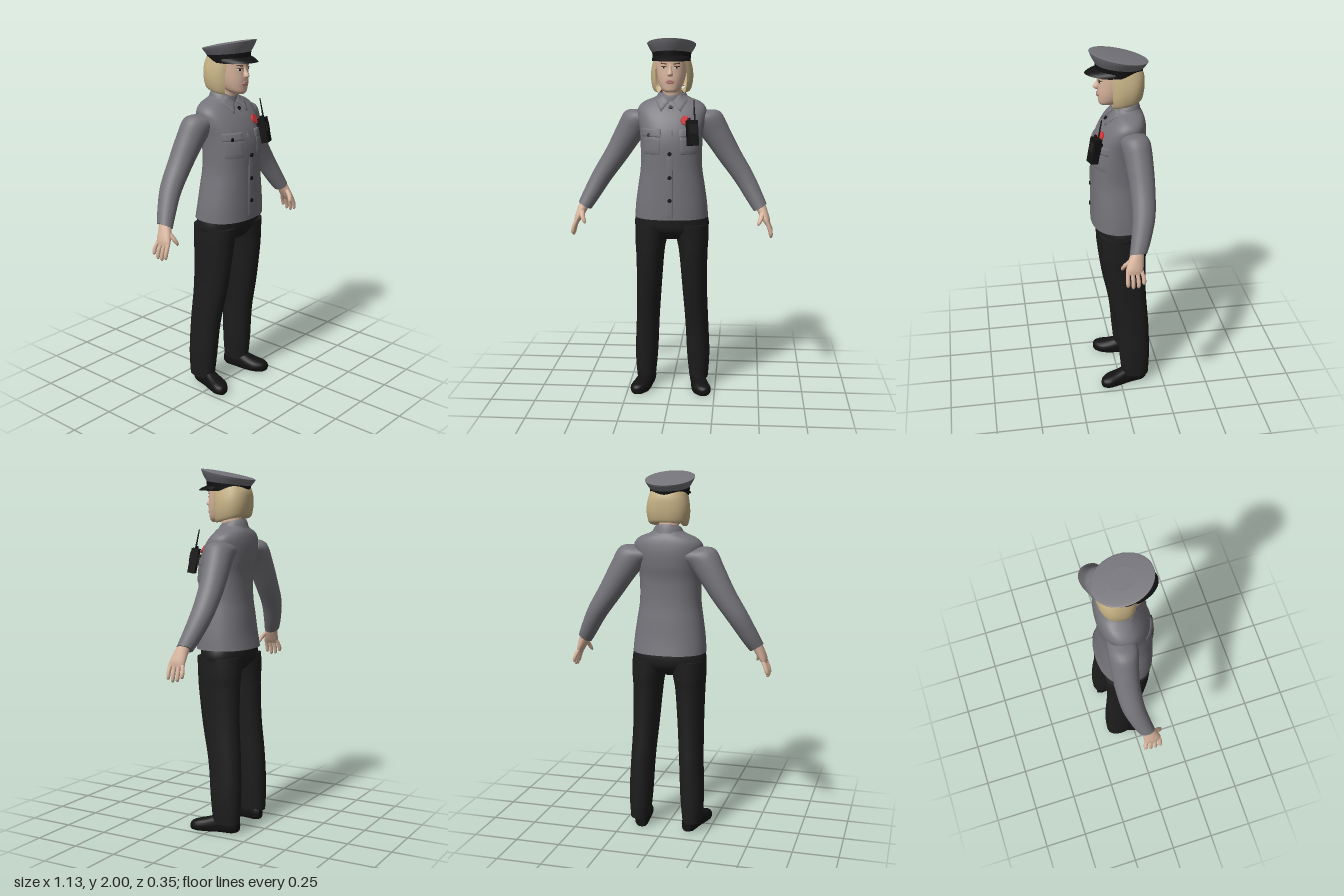
import * as THREE from 'three';

const paint = (name, color, side = THREE.DoubleSide) => {
  const m = new THREE.MeshStandardMaterial({ color, side });
  m.name = name;
  return m;
};
const X = [1, 0, 0], Y = [0, 1, 0], Z = [0, 0, 1];

// Smoothly resample section keys: [x, y, z, radiusU, radiusV, tilt]
function resample(keys, steps) {
  const out = [], last = keys.length - 1;
  for (let i = 0; i < last; i++) {
    for (let k = 0; k < steps + (i === last - 1 ? 1 : 0); k++) {
      const t = k / steps;
      out.push([0, 1, 2, 3, 4, 5].map((c) => {
        const [p, q, r, s] = [i - 1, i, i + 1, i + 2].map((n) => keys[Math.min(last, Math.max(0, n))][c] ?? 0);
        return 0.5 * (2 * q + (r - p) * t + (2 * p - 5 * q + 4 * r - s) * t * t + (3 * q - p - 3 * r + s) * t ** 3);
      }));
    }
  }
  return out;
}

// Skin a row of superelliptic sections; an arc [from, to] leaves the loop open
function loft(keys, { u = X, v = Z, n = 28, steps = 4, p = 2, arc = null, caps = true, floor = -9 } = {}) {
  const rows = resample(keys, steps), pos = [], idx = [];
  const cols = arc ? n + 1 : n, [a0, a1] = arc ?? [0, Math.PI * 2];
  const U = new THREE.Vector3(...u).normalize(), V = new THREE.Vector3(...v).normalize();
  const bend = (w) => Math.sign(w) * Math.abs(w) ** (2 / p);
  for (const [x, y, z, ru, rv, tilt] of rows) {
    for (let j = 0; j < cols; j++) {
      const a = a0 + (a1 - a0) * j / n, cu = ru * bend(Math.cos(a)), cv = rv * bend(Math.sin(a));
      pos.push(x + U.x * cu + V.x * cv, Math.max(floor, y + U.y * cu + V.y * cv + tilt * cv), z + U.z * cu + V.z * cv);
    }
  }
  const f = rows[0], l = rows[rows.length - 1];
  const path = new THREE.Vector3(l[0] - f[0], l[1] - f[1], l[2] - f[2]);
  const ok = U.clone().cross(V).dot(path) > 0;
  const tri = (a, b, c) => (ok ? idx.push(a, b, c) : idx.push(a, c, b));
  for (let i = 0; i < rows.length - 1; i++) {
    for (let j = 0; j < n; j++) {
      const k = (j + 1) % cols, a = i * cols + j, b = i * cols + k;
      tri(a, b, b + cols);
      tri(a, b + cols, a + cols);
    }
  }
  if (caps && !arc) {
    for (const end of [0, rows.length - 1]) {
      const base = pos.length / 3, src = end * cols;
      for (let j = 0; j < cols; j++) pos.push(...pos.slice((src + j) * 3, (src + j) * 3 + 3));
      pos.push(rows[end][0], Math.max(floor, rows[end][1]), rows[end][2]);
      for (let j = 0; j < n; j++) {
        const a = base + j, b = base + (j + 1) % cols;
        end ? tri(base + cols, a, b) : tri(base + cols, b, a);
      }
    }
  }
  return finish(pos, idx);
}

function finish(pos, idx) {
  const g = new THREE.BufferGeometry();
  g.setAttribute('position', new THREE.Float32BufferAttribute(pos, 3));
  g.setIndex(idx);
  g.computeVertexNormals();
  return g;
}

// Front z of an upright loft at a given x, y
function frontOf(keys, p) {
  const rows = resample(keys, 8);
  return (x, y) => {
    let i = 0;
    while (i < rows.length - 2 && rows[i + 1][1] < y) i++;
    const a = rows[i], b = rows[i + 1], t = THREE.MathUtils.clamp((y - a[1]) / (b[1] - a[1]), 0, 1);
    const [, , z, ru, rv] = a.map((w, c) => w + (b[c] - w) * t);
    return z + rv * Math.max(0, 1 - Math.abs(x / ru) ** p) ** (1 / p);
  };
}

// Thin four-cornered plate that follows a front surface
function plate(front, [A, B, C, D], lift) {
  const ts = [0, 0.05, 0.25, 0.5, 0.75, 0.95, 1], m = ts.length, pos = [], idx = [];
  ts.forEach((t, i) => ts.forEach((s, j) => {
    const [x, y] = [0, 1].map((c) => (A[c] * (1 - s) + B[c] * s) * (1 - t) + (D[c] * (1 - s) + C[c] * s) * t);
    const edge = i % (m - 1) === 0 || j % (m - 1) === 0;
    pos.push(x, y, front(x, y) + (edge ? -0.001 : lift));
    if (i < m - 1 && j < m - 1) {
      const a = i * m + j;
      idx.push(a, a + 1, a + m + 1, a, a + m + 1, a + m);
    }
  }));
  return finish(pos, idx);
}
const box4 = (x, y, w, h, s = 1) => [[s * (x - w / 2), y - h / 2], [s * (x + w / 2), y - h / 2], [s * (x + w / 2), y + h / 2], [s * (x - w / 2), y + h / 2]];

export function createModel() {
  const model = new THREE.Group();
  const shirt = paint('shirt grey', 0x74747a), cloth = paint('trouser black', 0x1d1d1e);
  const black = paint('black', 0x121213), skin = paint('skin', 0xd9b59e), blond = paint('blond', 0xc6b185);
  const red = paint('red', 0xd8353a), lip = paint('lip', 0xb98078), white = paint('eye white', 0xd8d4ce), brown = paint('brow brown', 0x5c4636);
  const add = (name, geo, mat, parent = model) => {
    const m = new THREE.Mesh(geo, mat);
    m.name = name;
    parent.add(m);
    return m;
  };

  // Shirt body
  const torso = [[0, 1.02, -0.015, 0.204, 0.157], [0, 1.1, -0.008, 0.198, 0.15], [0, 1.2, -0.003, 0.184, 0.144],
    [0, 1.3, 0.002, 0.17, 0.138], [0, 1.42, 0.002, 0.17, 0.138], [0, 1.5, -0.012, 0.176, 0.138], [0, 1.57, -0.03, 0.188, 0.125],
    [0, 1.62, -0.045, 0.188, 0.105], [0, 1.655, -0.055, 0.155, 0.085], [0, 1.68, -0.055, 0.095, 0.07], [0, 1.705, -0.05, 0.066, 0.064]];
  const chest = frontOf(torso, 2.3);
  add('shirtBody', loft(torso, { p: 2.3, n: 48, caps: false }), shirt);
  add('placket', plate(chest, [[-0.02, 1.025], [0.02, 1.025], [0.014, 1.655], [-0.014, 1.655]], 0.003), shirt);
  add('collarBand', loft([[0, 1.665, -0.05, 0.09, 0.078, -0.2], [0, 1.695, -0.048, 0.08, 0.072, -0.22], [0, 1.712, -0.046, 0.068, 0.066, -0.25]], { caps: false }), shirt);
  const button = (name, x, y, r) => {
    const b = add(name, new THREE.CylinderGeometry(r, r, 0.008, 12), black);
    b.rotation.x = Math.PI / 2 - Math.atan((chest(x, y - 0.02) - chest(x, y + 0.02)) / 0.04);
    b.position.set(x, y, chest(x, y) + 0.005);
  };
  [1.13, 1.255, 1.385, 1.63].forEach((y) => button('shirtButton', 0, y, 0.011));
  button('pocketButton', -0.115, 1.483, 0.011);
  button('pocketButton', 0.105, 1.483, 0.011);

  // Trouser seat and neck
  add('trouserSeat', loft([[0, 0.9, -0.02, 0.12, 0.085], [0, 0.95, -0.022, 0.198, 0.125], [0, 1, -0.022, 0.207, 0.133], [0, 1.06, -0.015, 0.185, 0.13]], { p: 2.2, n: 36 }), cloth);
  add('neck', loft([[0, 1.64, -0.045, 0.058, 0.06], [0, 1.7, -0.035, 0.054, 0.058], [0, 1.77, -0.025, 0.054, 0.062]]), skin);

  for (const s of [1, -1]) {
    const side = new THREE.Group();
    side.name = s > 0 ? 'leftSide' : 'rightSide';
    model.add(side);
    // Collar point and chest pocket
    add('collarPoint', plate(chest, [[s * 0.008, 1.662], [s * 0.053, 1.605], [s * 0.09, 1.668], [s * 0.045, 1.698]], 0.009), shirt, side);
    add('chestPocket', plate(chest, box4(0.102, 1.43, 0.095, 0.1, s), 0.004), shirt, side);
    add('pocketFlap', plate(chest, box4(0.102, 1.495, 0.108, 0.045, s), 0.007), shirt, side);

    // Sleeve
    const sleeve = [[0.12, 1.57, -0.065, 0.075, 0.068], [0.19, 1.555, -0.07, 0.086, 0.078], [0.25, 1.47, -0.08, 0.076, 0.073],
      [0.32, 1.355, -0.086, 0.065, 0.066], [0.4, 1.235, -0.08, 0.056, 0.06], [0.46, 1.13, -0.055, 0.048, 0.052], [0.494, 1.07, -0.035, 0.041, 0.045]];
    const flip = (keys) => keys.map(([x, ...rest]) => [s * x, ...rest]);
    add('sleeve', loft(flip(sleeve), { u: [s * 0.85, 0.527, 0] }), shirt, side);

    // Hand with four fingers and a thumb
    add('palm', loft(flip([[0.49, 1.09, -0.034, 0.03, 0.034], [0.508, 1.05, -0.022, 0.027, 0.04], [0.528, 1.005, -0.012, 0.021, 0.046], [0.537, 0.98, -0.01, 0.013, 0.044]]),
      { u: [s, 0.3, 0], n: 16 }), skin, side);
    [0.07, 0.082, 0.078, 0.06].forEach((len, i) => {
      const z = 0.025 - i * 0.024, e = z * 1.15 - 0.002;
      add('finger', loft(flip([[0.533, 0.995, z, 0.012, 0.011], [0.55, 0.985 - len * 0.45, e, 0.012, 0.011],
        [0.556, 0.985 - len * 0.85, e, 0.01, 0.01], [0.555, 0.985 - len, e, 0.004, 0.004]]), { n: 10, steps: 3 }), skin, side);
    });
    add('thumb', loft(flip([[0.508, 1.055, -0.005, 0.015, 0.016], [0.5, 1.02, 0.028, 0.014, 0.015], [0.489, 0.992, 0.043, 0.011, 0.011], [0.484, 0.978, 0.046, 0.004, 0.004]]),
      { n: 10, steps: 3 }), skin, side);

    // Trouser leg
    add('trouserLeg', loft(flip([[0.106, 0.98, -0.022, 0.1, 0.13], [0.118, 0.88, -0.025, 0.088, 0.125], [0.1225, 0.8, -0.026, 0.079, 0.12],
      [0.13, 0.6, -0.042, 0.07, 0.108], [0.141, 0.4, -0.07, 0.066, 0.095], [0.15, 0.2, -0.083, 0.065, 0.088], [0.153, 0.055, -0.088, 0.054, 0.078]]), { p: 2.2 }), cloth, side);
    // Shoe
    add('shoe', loft(flip([[0.135, 0.035, -0.152, 0.025, 0.03], [0.14, 0.04, -0.12, 0.04, 0.05], [0.15, 0.04, -0.05, 0.042, 0.058],
      [0.165, 0.03, 0.02, 0.05, 0.045], [0.178, 0.026, 0.07, 0.052, 0.036], [0.187, 0.023, 0.105, 0.032, 0.027], [0.189, 0.022, 0.116, 0.01, 0.012]]),
    { v: Y, n: 20, p: 2.4, floor: 0 }), black, side);
  }

  // Head and face
  const skull = [[0, 1.71, 0.05, 0.026, 0.034], [0, 1.722, 0.04, 0.046, 0.054], [0, 1.745, 0.025, 0.062, 0.072], [0, 1.785, 0.01, 0.075, 0.09],
    [0, 1.84, -0.005, 0.084, 0.102], [0, 1.9, -0.012, 0.086, 0.108]];
  const face = frontOf(skull, 2.2);
  add('head', loft(skull, { p: 2.2 }), skin);
  add('nose', loft([[0, 1.865, 0.09, 0.006, 0.006], [0, 1.835, 0.094, 0.009, 0.014], [0, 1.81, 0.102, 0.015, 0.023], [0, 1.797, 0.097, 0.012, 0.014]], { n: 12 }), skin);
  add('upperLip', plate(face, [[-0.026, 1.768], [0.026, 1.768], [0.01, 1.778], [-0.01, 1.778]], 0.006), lip);
  add('lowerLip', plate(face, [[-0.014, 1.758], [0.014, 1.758], [0.026, 1.768], [-0.026, 1.768]], 0.006), lip);
  for (const s of [1, -1]) {
    add('eye', plate(face, box4(0.035, 1.843, 0.028, 0.01, s), 0.002), white);
    add('iris', plate(face, box4(0.035, 1.843, 0.01, 0.01, s), 0.004), black);
    add('eyelid', plate(face, box4(0.035, 1.85, 0.032, 0.004, s), 0.005), brown);
    add('eyebrow', plate(face, [[s * 0.016, 1.86], [s * 0.054, 1.864], [s * 0.05, 1.87], [s * 0.016, 1.866]], 0.004), brown);
  }

  // Bobbed hair, open around the face
  const rad = Math.PI / 180;
  add('hair', loft([[0, 1.735, -0.045, 0.07, 0.06, -0.2], [0, 1.722, -0.045, 0.1, 0.086, -0.22], [0, 1.765, -0.045, 0.114, 0.098, -0.18],
    [0, 1.82, -0.045, 0.115, 0.101, -0.1], [0, 1.875, -0.04, 0.104, 0.102, 0], [0, 1.92, -0.03, 0.09, 0.09, 0]],
  { p: 2.4, n: 40, arc: [134 * rad, 406 * rad] }), blond);

  // Peaked cap
  add('capBand', loft([[0, 1.877, -0.015, 0.102, 0.122], [0, 1.922, -0.015, 0.107, 0.127, 0.12]], { n: 40 }), black);
  add('capPeak', loft([[0, 1.9, -0.015, 0.102, 0.122, 0.08], [0, 1.888, -0.008, 0.106, 0.155, 0.05], [0, 1.874, 0, 0.106, 0.166, 0.06]],
    { n: 30, arc: [12 * rad, 168 * rad] }), black);
  add('capCrown', loft([[0, 1.916, -0.015, 0.105, 0.125, 0.12], [0, 1.942, -0.013, 0.121, 0.142, 0.17], [0, 1.962, -0.012, 0.131, 0.152, 0.21],
    [0, 1.969, -0.012, 0.126, 0.147, 0.21], [0, 1.974, -0.012, 0.06, 0.07, 0.21]], { n: 48 }), shirt);

  // Red rosette and chest radio
  const rosette = add('rosette', new THREE.CylinderGeometry(0.027, 0.027, 0.008, 10), red);
  rosette.position.set(0.083, 1.562, chest(0.083, 1.562) + 0.006);
  rosette.rotation.set(Math.PI / 2 - 0.5, 0, -0.25);
  const radio = new THREE.Group();
  radio.name = 'radio';
  radio.position.set(0.122, 1.5, 0.135);
  radio.rotation.set(-0.2, 0.35, 0, 'YXZ');
  model.add(radio);
  add('radioBody', new THREE.BoxGeometry(0.058, 0.135, 0.04), black, radio);
  add('radioGrille', new THREE.BoxGeometry(0.042, 0.05, 0.008), cloth, radio).position.set(0, 0.02, 0.021);
  add('radioKnob', new THREE.CylinderGeometry(0.008, 0.008, 0.015, 10), black, radio).position.set(-0.014, 0.073, 0);
  add('radioAntenna', new THREE.CylinderGeometry(0.003, 0.005, 0.11, 8), black, radio).position.set(0.018, 0.118, 0);
  add('radioClip', new THREE.BoxGeometry(0.03, 0.06, 0.03), black, radio).position.set(0, 0.01, -0.03);
  return model;
}
